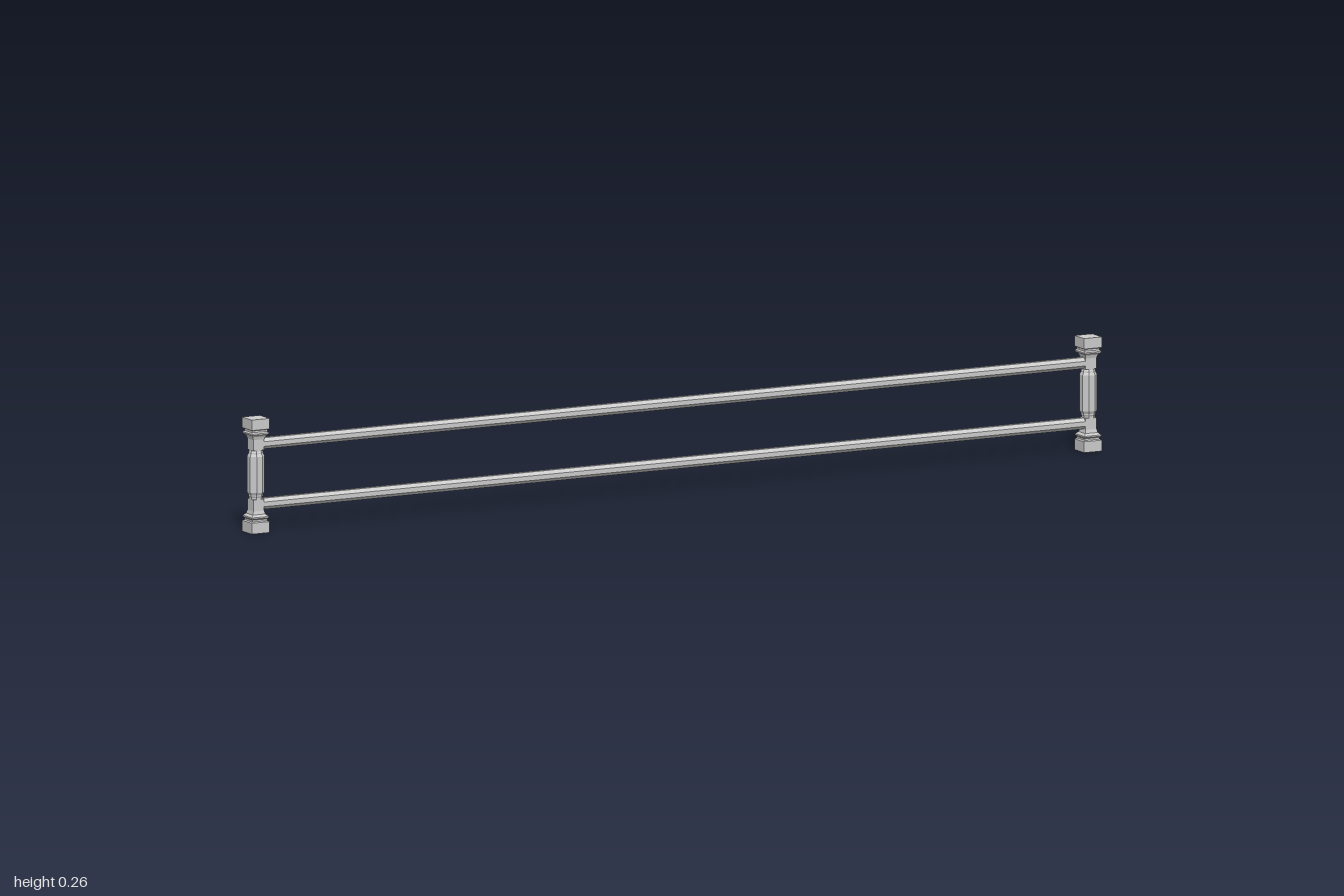
import * as THREE from 'three';

const material = new THREE.MeshStandardMaterial({ color: 0xcccccc, flatShading: true, side: THREE.DoubleSide });
const HALF = 1.068;  // half distance between post centres
const RISE = 0.001;  // half height difference of the two ends

// Turned solid with few sides; profile holds [half width across flats, height]
function turned(name, sides, profile) {
  const k = 1 / Math.cos(Math.PI / sides);
  const points = profile.map(([r, y]) => new THREE.Vector2(r * k, y));
  const geometry = new THREE.LatheGeometry(points, sides, Math.PI / sides);
  const mesh = new THREE.Mesh(geometry, material);
  mesh.name = name;
  return mesh;
}

function createPost() {
  const post = new THREE.Group();
  // Square foot with stepped moulding
  post.add(turned('postFoot', 4, [
    [0, 0], [0.023, 0], [0.023, 0.025], [0.019, 0.027], [0.019, 0.031],
    [0.022, 0.034], [0.022, 0.037], [0.016, 0.042], [0.014, 0.05], [0, 0.05],
  ]));
  // Square blocks that hold the rails
  for (const [name, y] of [['lowerBlock', 0.0625], ['upperBlock', 0.2015]]) {
    const block = new THREE.Mesh(new THREE.BoxGeometry(0.028, 0.027, 0.028), material);
    block.name = name;
    block.position.y = y;
    post.add(block);
  }
  // Chamfered shaft between narrow necks
  post.add(turned('postShaft', 8, [
    [0.014, 0.074], [0.014, 0.08], [0.0155, 0.083], [0.0155, 0.086], [0.0185, 0.092],
    [0.0185, 0.174], [0.0155, 0.18], [0.0155, 0.183], [0.014, 0.186], [0.014, 0.19],
  ]));
  // Square cap with stepped moulding
  post.add(turned('postCap', 4, [
    [0, 0.213], [0.014, 0.213], [0.016, 0.22], [0.022, 0.225], [0.022, 0.228],
    [0.019, 0.231], [0.019, 0.235], [0.023, 0.237], [0.023, 0.261], [0, 0.261],
  ]));
  return post;
}

export function createModel() {
  const model = new THREE.Group();
  model.name = 'railing';
  const railing = new THREE.Group();
  railing.name = 'diagonalRailing';
  railing.rotation.y = THREE.MathUtils.degToRad(25);
  model.add(railing);

  for (const side of [-1, 1]) {
    const post = createPost();
    post.name = side > 0 ? 'leftPost' : 'rightPost';
    post.position.set(side * HALF, RISE * (1 + side), 0);
    railing.add(post);
  }

  // Eight-sided rails running from post to post
  for (const [name, y] of [['lowerRail', 0.0635], ['upperRail', 0.2015]]) {
    const geometry = new THREE.CylinderGeometry(0.0138, 0.0138, HALF * 2, 8);
    geometry.rotateY(Math.PI / 8);
    geometry.rotateZ(-Math.PI / 2);
    const rail = new THREE.Mesh(geometry, material);
    rail.name = name;
    rail.position.y = y + RISE;
    rail.rotation.z = Math.atan2(RISE, HALF);
    railing.add(rail);
  }
  return model;
}
